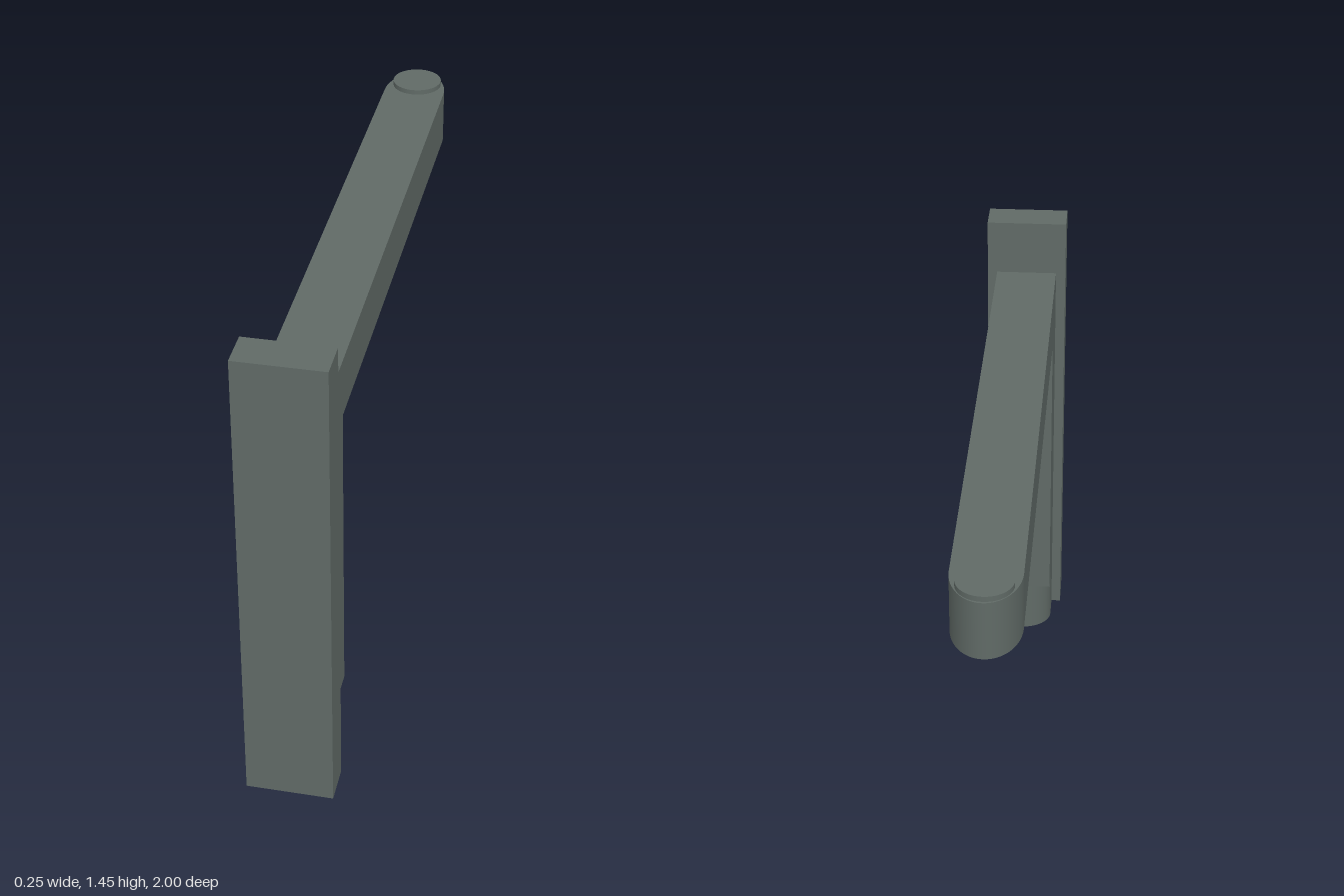
import * as THREE from 'three';

export function createModel() {
  const group = new THREE.Group();
  const grey = new THREE.MeshStandardMaterial({ color: 0x606a66 });
  grey.name = 'slate grey';

  const add = (name, geometry, x, y, z) => {
    const mesh = new THREE.Mesh(geometry, grey);
    mesh.name = name;
    mesh.position.set(x, y, z);
    group.add(mesh);
  };

  // Upright slab running from zFront back to zTip, with a rounded rear end
  const roundedBar = (halfWidth, zFront, zTip, depth, height) => {
    const shape = new THREE.Shape();
    const start = -(zTip + depth); // shape y is -z
    shape.moveTo(-halfWidth, -zFront);
    shape.lineTo(halfWidth, -zFront);
    shape.lineTo(halfWidth, start);
    shape.absellipse(0, start, halfWidth, depth, 0, Math.PI, false, 0);
    shape.closePath();
    const geometry = new THREE.ExtrudeGeometry(shape, { depth: height, bevelEnabled: false, curveSegments: 32 });
    // Smooth normals around the curved end
    const p = geometry.attributes.position, n = geometry.attributes.normal;
    for (let i = 0; i < p.count; i++) {
      const dy = p.getY(i) - start;
      if (Math.abs(n.getZ(i)) > 0.5 || dy < 1e-4) continue;
      const v = new THREE.Vector3(p.getX(i) / halfWidth ** 2, dy / depth ** 2, 0).normalize();
      n.setXYZ(i, v.x, v.y, 0);
    }
    return geometry.rotateX(-Math.PI / 2);
  };

  // Flat mounting plate at the front
  add('mountingPlate', new THREE.BoxGeometry(0.25, 1.445, 0.11), 0, 0.7225, 0.945);

  // Square post behind the plate, up to the underside of the arm
  add('post', new THREE.BoxGeometry(0.19, 0.92, 0.19), 0, 0.645, 0.795);

  // Rounded foot below the post
  add('foot', roundedBar(0.095, 0.89, 0.72, 0.09, 0.185), 0, 0, 0);

  // Long arm with rounded tip
  add('arm', roundedBar(0.095, 0.89, -1, 0.14, 0.17), 0, 1.105, 0);

  // Low round pad on the tip
  add('pad', new THREE.CylinderGeometry(0.076, 0.076, 0.03, 48), 0, 1.275, -0.918);

  return group;
}
